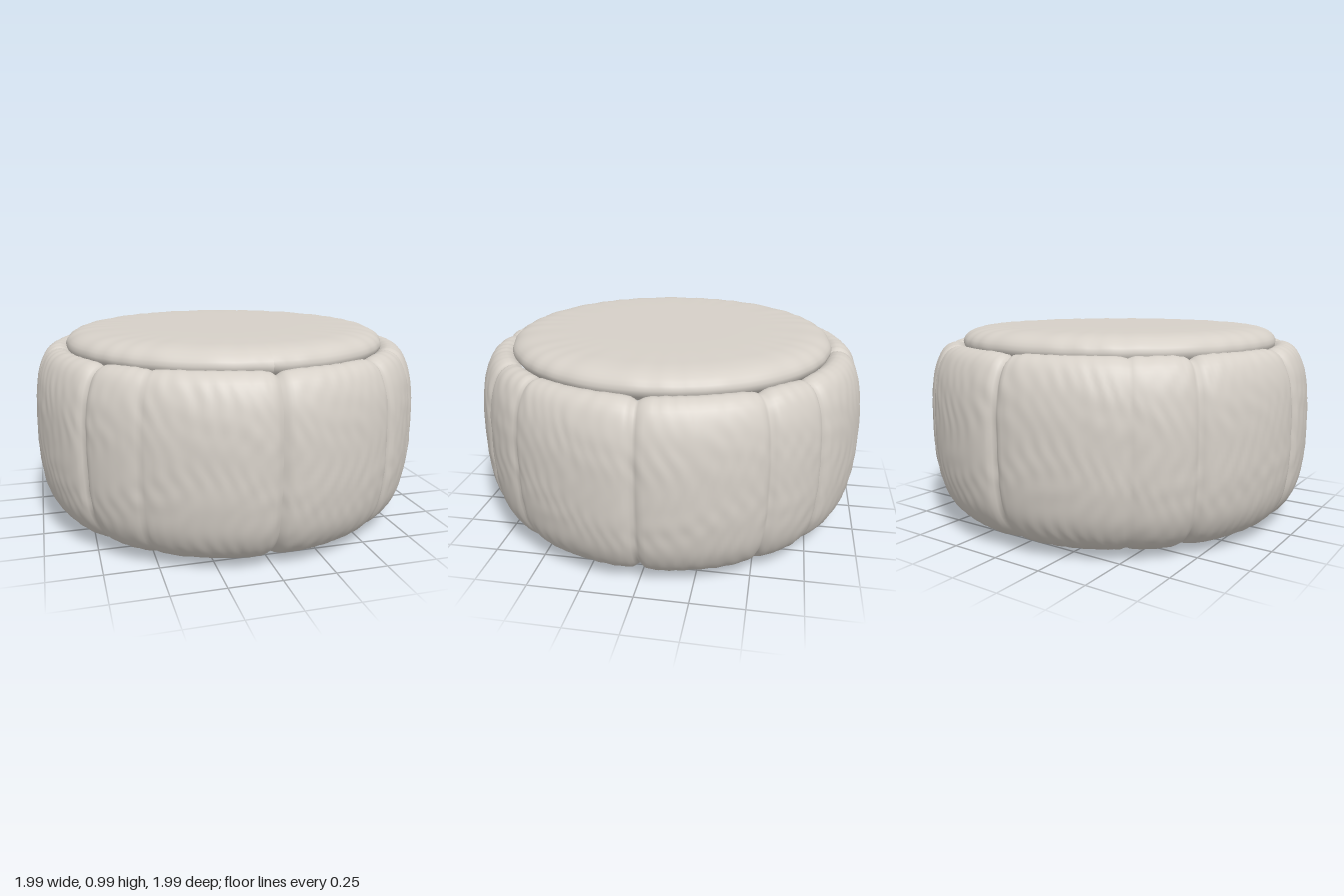
import * as THREE from 'three';

// Stitched seams: [angle in degrees from the front, strength]
const SEAMS = [[0, 1], [36, 0.8], [54, 0.5], [90, 1], [126, 0.9], [144, 0.8],
  [180, 1], [216, 0.35], [234, 0.9], [270, 1], [306, 0.9], [324, 0.35]];

// Inward pull of the leather at an angle: narrow stitch line plus soft shoulder
function seamDepth(deg) {
  let depth = 0;
  for (const [angle, strength] of SEAMS) {
    const d = Math.abs(((deg - angle + 540) % 360) - 180);
    depth += strength * (0.022 * Math.exp(-((d / 1.1) ** 2)) + 0.01 * Math.exp(-((d / 4) ** 2)));
  }
  return depth;
}

// Slight leather wrinkling, periodic around the pouf
function wrinkle(a, y) {
  return 0.0014 * Math.sin(47 * a + 5 * Math.sin(9 * y)) * Math.sin(13 * y + 4 * Math.sin(11 * a))
    + 0.0012 * Math.sin(83 * a + 3 * Math.sin(17 * y + 2 * Math.sin(5 * a)));
}

// Smooth profile through a few [radius, height] points
function smoothProfile(points, count) {
  const curve = new THREE.CatmullRomCurve3(points.map(([r, y]) => new THREE.Vector3(r, y, 0)));
  return curve.getSpacedPoints(count).map((p) => new THREE.Vector2(Math.max(p.x, 0), p.y));
}

// Revolve a profile, then push each vertex by rule(angle, radius, y) -> [radius, y]
function softLathe(profile, segments, rule) {
  const geometry = new THREE.LatheGeometry(profile, segments);
  const pos = geometry.attributes.position;
  for (let i = 0; i < pos.count; i++) {
    const x = pos.getX(i), z = pos.getZ(i);
    const a = Math.atan2(x, z);
    const [r, y] = rule(a, Math.hypot(x, z), pos.getY(i));
    pos.setXYZ(i, r * Math.sin(a), y, r * Math.cos(a));
  }
  geometry.computeVertexNormals();
  return geometry;
}

export function createModel() {
  const group = new THREE.Group();
  group.name = 'pouf';
  const leather = new THREE.MeshStandardMaterial({ color: 0xd6d0c8 });
  leather.name = 'pale leather';

  const add = (name, geometry) => {
    const mesh = new THREE.Mesh(geometry, leather);
    mesh.name = name;
    group.add(mesh);
    return mesh;
  };

  // Padded side panels, pinched towards a core ring along each seam
  const sideProfile = smoothProfile([
    [0.66, 0.012], [0.72, 0.012], [0.81, 0.028], [0.9, 0.085], [0.96, 0.18], [0.99, 0.32],
    [0.998, 0.5], [0.99, 0.68], [0.965, 0.8], [0.925, 0.875], [0.88, 0.902], [0.84, 0.9], [0.805, 0.87],
  ], 56);
  add('sidePanels', softLathe(sideProfile, 360, (a, r, y) => {
    const deg = (THREE.MathUtils.radToDeg(a) + 360) % 360;
    const dr = r - 0.75, dy = (y - 0.46) * 0.7;
    const len = Math.hypot(dr, dy) || 1;
    const edge = THREE.MathUtils.smoothstep(r, 0.7, 0.82);
    const pull = (seamDepth(deg) - wrinkle(a, y)) * edge;
    return [r - (dr / len) * pull, y - (dy / len) * pull];
  }));

  // Round top cushion with faint gathers near its rim
  const topProfile = smoothProfile([
    [0.795, 0.86], [0.825, 0.9], [0.815, 0.935], [0.775, 0.965], [0.71, 0.981],
    [0.6, 0.987], [0.4, 0.99], [0.2, 0.99], [0, 0.99],
  ], 44);
  add('topCushion', softLathe(topProfile, 180, (a, r, y) => {
    const rim = THREE.MathUtils.smoothstep(r, 0.45, 0.75);
    const gather = 0.002 * rim * Math.sin(31 * a + 2 * Math.sin(7 * a));
    return [r + gather, y + gather * 0.6];
  }));

  // Flat base disc
  add('base', new THREE.CylinderGeometry(0.7, 0.7, 0.02, 96)).position.y = 0.01;

  return group;
}
